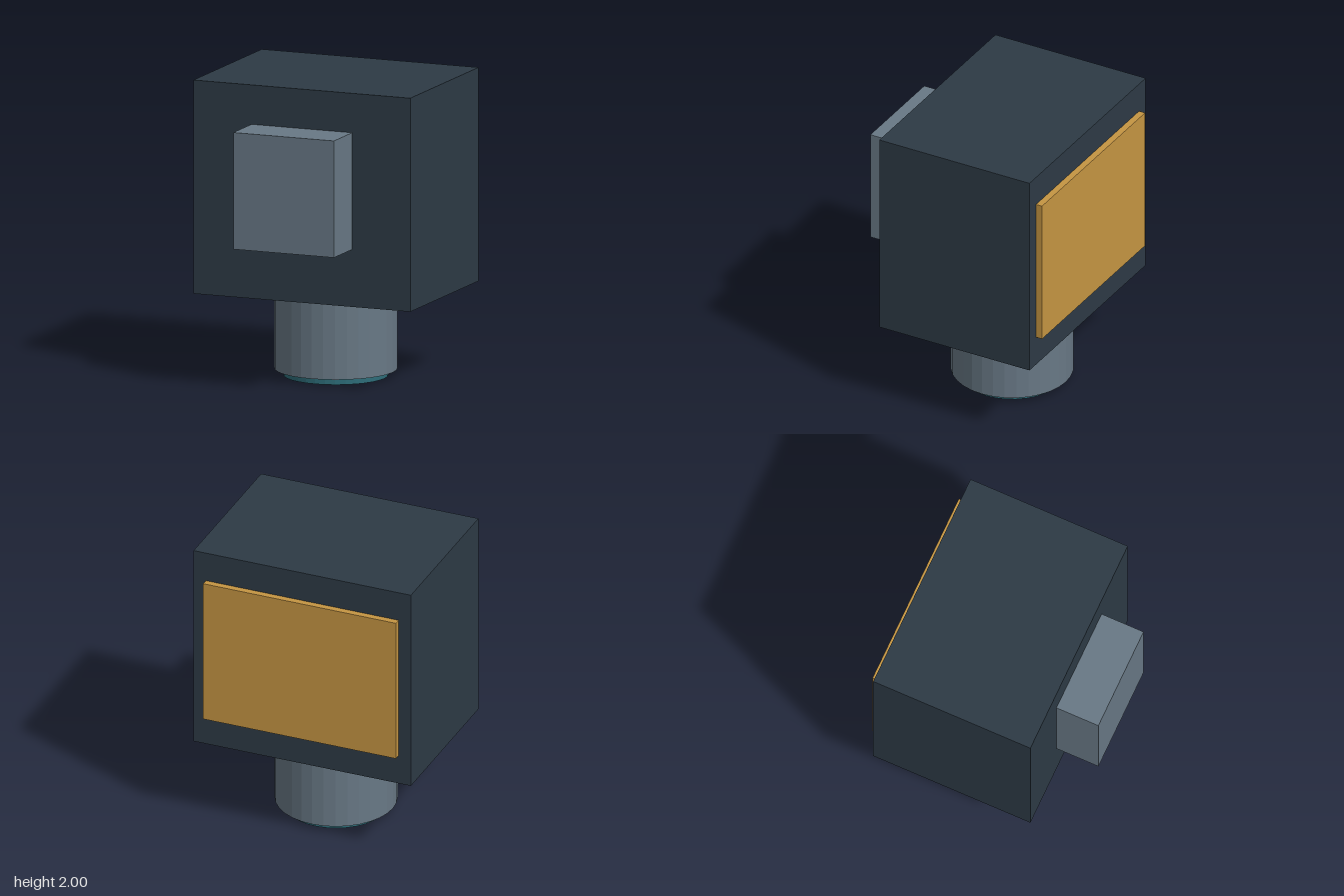
import * as THREE from 'three';

export function createModel() {
  const model = new THREE.Group();
  model.name = 'cameraHead';

  const material = (name, color, flatShading = false) => {
    const m = new THREE.MeshStandardMaterial({ color, flatShading });
    m.name = name;
    return m;
  };
  const darkSlate = material('dark slate', 0x2d3a45);
  const greyMetal = material('grey metal', 0x687885, true);
  const amber = material('amber', 0xc59542);
  const teal = material('teal glass', 0x2d6c78, true);

  const add = (name, geometry, mat, x, y, z) => {
    const mesh = new THREE.Mesh(geometry, mat);
    mesh.name = name;
    mesh.position.set(x, y, z);
    model.add(mesh);
  };
  // Box given by its width and its y and z extents
  const box = (name, mat, width, y0, y1, z0, z1) =>
    add(name, new THREE.BoxGeometry(width, y1 - y0, z1 - z0), mat, 0, (y0 + y1) / 2, (z0 + z1) / 2);
  // Upright 32-sided cylinder under the housing
  const barrel = (name, mat, radius, y0, y1) =>
    add(name, new THREE.CylinderGeometry(radius, radius, y1 - y0, 32), mat, 0, (y0 + y1) / 2, -0.125);

  // Main housing with the front block and the rear panel
  box('housing', darkSlate, 1.54, 0.58, 2, -0.69, 0.435);
  box('frontBlock', greyMetal, 0.715, 0.962, 1.738, 0.435, 0.735);
  box('rearPanel', amber, 1.366, 0.787, 1.795, -0.735, -0.69);

  // Downward-facing barrel and its lens
  barrel('lensBarrel', greyMetal, 0.402, 0.045, 0.58);
  barrel('lens', teal, 0.343, 0, 0.045);

  return model;
}
